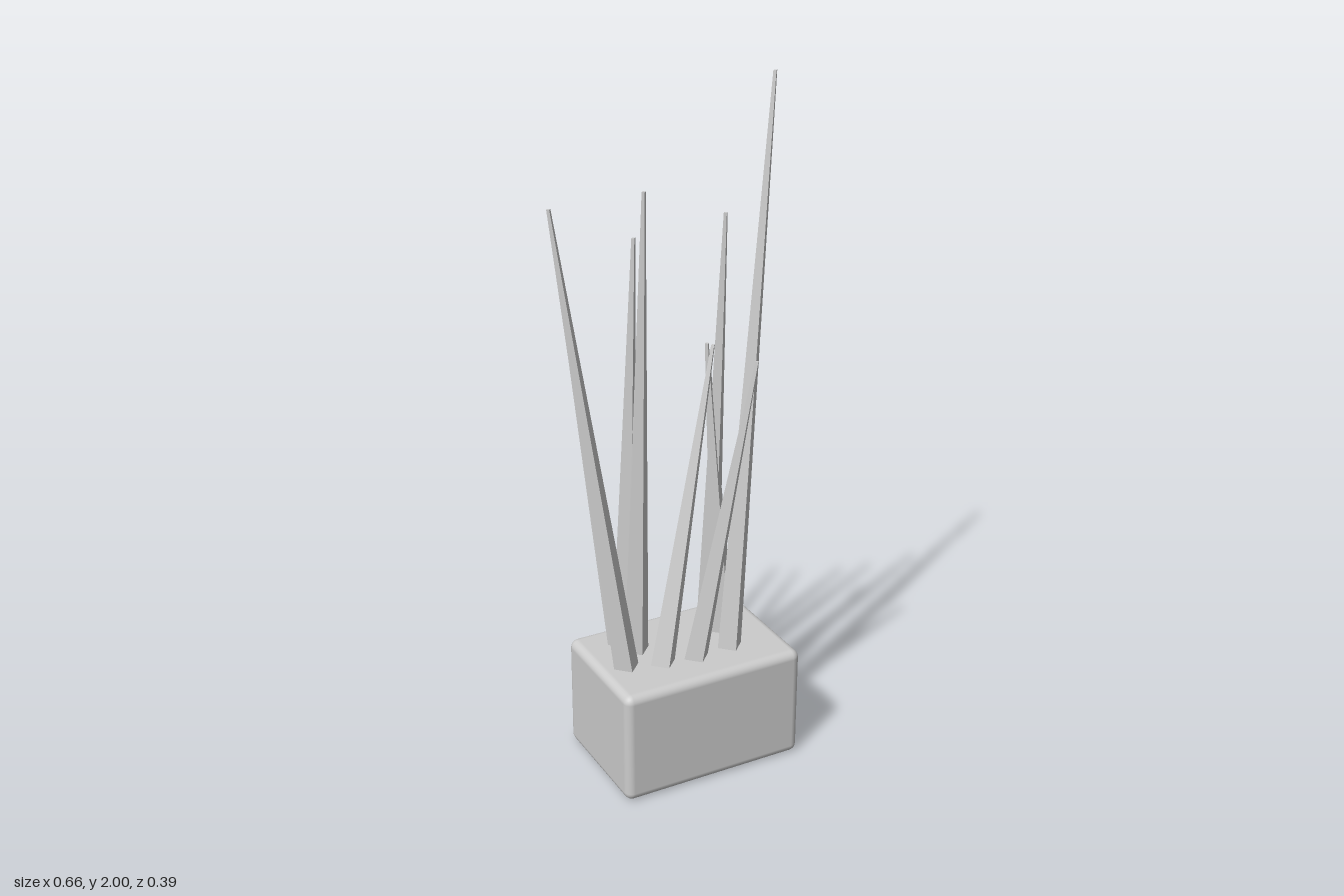
import * as THREE from 'three';
import { RoundedBoxGeometry } from 'three/addons/geometries/RoundedBoxGeometry.js';

const grey = new THREE.MeshStandardMaterial({ color: 0xcccccc });
grey.name = 'light grey';

const SOIL = 0.345; // top of the planter

// Four-sided tapering blade, sheared from its base to its tip
function blade([bx, bz, tx, ty, tz]) {
  const height = ty - SOIL;
  const geo = new THREE.CylinderGeometry(0.006, 0.039, height, 4).toNonIndexed();
  const p = geo.attributes.position;
  for (let i = 0; i < p.count; i++) {
    const t = p.getY(i) / height + 0.5;
    // the foot sinks slightly into the planter
    p.setXYZ(
      i,
      p.getX(i) + THREE.MathUtils.lerp(bx, tx, t),
      t > 0.5 ? ty : SOIL - 0.01,
      p.getZ(i) + THREE.MathUtils.lerp(bz, tz, t)
    );
  }
  geo.computeVertexNormals();
  return new THREE.Mesh(geo, grey);
}

// base x, base z, tip x, tip y, tip z
const blades = [
  [-0.157, 0.03, -0.323, 1.7, -0.054],
  [-0.113, -0.1, -0.245, 1.53, -0.19],
  [-0.105, -0.092, -0.084, 1.59, -0.049],
  [-0.09, -0.041, -0.098, 1.74, 0.04],
  [-0.058, 0.061, 0.135, 1.265, -0.005],
  [0.043, 0.075, 0.185, 1.26, 0.148],
  [0.16, 0.066, 0.312, 2.0, -0.004],
  [0.161, -0.067, 0.162, 1.64, 0.008],
  [0.191, -0.025, 0.126, 1.265, -0.024],
];

export function createModel() {
  const model = new THREE.Group();
  model.name = 'pottedGrass';

  // Planter block with softened edges
  const planter = new THREE.Mesh(new RoundedBoxGeometry(0.568, SOIL, 0.385, 3, 0.025), grey);
  planter.name = 'planter';
  planter.position.set(0.045, SOIL / 2, 0.001);
  model.add(planter);

  // Grass blades
  const grass = new THREE.Group();
  grass.name = 'grass';
  blades.forEach((b, i) => {
    const mesh = blade(b);
    mesh.name = `blade${i + 1}`;
    grass.add(mesh);
  });
  model.add(grass);
  return model;
}
